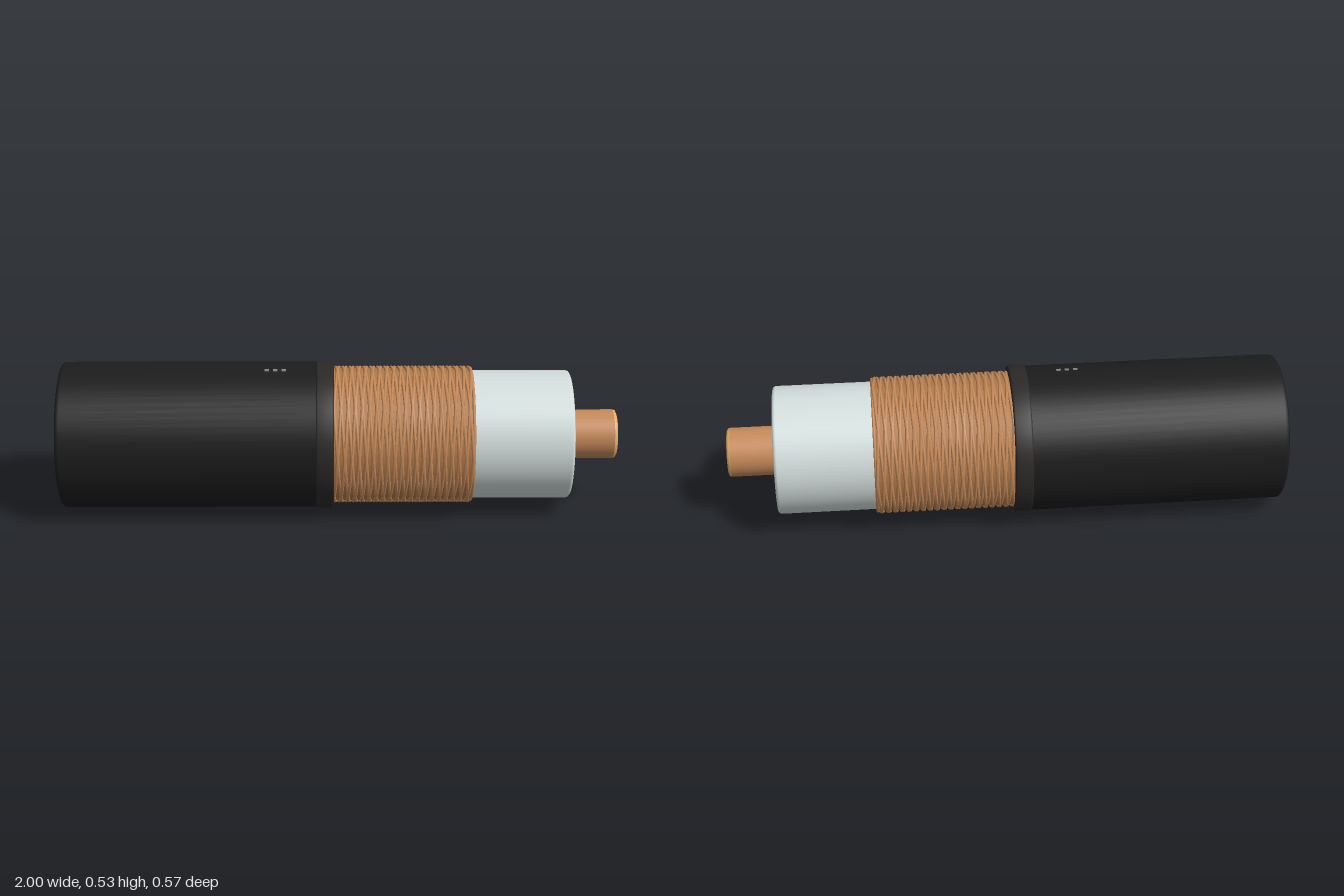
import * as THREE from 'three';

const material = (color) => new THREE.MeshStandardMaterial({ color, side: THREE.DoubleSide });

// Helix running along x, dir = +1 or -1 for the winding sense
class Helix extends THREE.Curve {
  constructor(x0, x1, radius, turns, phase, dir) {
    super();
    Object.assign(this, { x0, x1, radius, turns, phase, dir });
  }
  getPoint(t, target = new THREE.Vector3()) {
    const a = this.phase + this.dir * t * this.turns * Math.PI * 2;
    return target.set(
      this.x0 + (this.x1 - this.x0) * t,
      this.radius * Math.cos(a),
      this.radius * Math.sin(a)
    );
  }
}

export function createModel() {
  const model = new THREE.Group();
  model.name = 'strippedCable';
  const cable = new THREE.Group();
  cable.name = 'cable';
  cable.position.set(0, 0.269, 0.018);
  cable.rotation.y = -0.044;
  model.add(cable);

  const black = material(0x1c1c1c);
  const darkGrey = material(0x2b2928);
  const copper = material(0xc68a5a);
  const wire = material(0xb07a4a);
  const gold = material(0xe5ae68);
  const white = material(0xd3dedc);
  const grey = material(0x8a8a8a);

  const add = (name, geometry, mat, parent = cable) => {
    const mesh = new THREE.Mesh(geometry, mat);
    mesh.name = name;
    parent.add(mesh);
    return mesh;
  };

  // Turned part along x from [x, radius] pairs
  const turned = (name, profile, mat) => {
    const geometry = new THREE.LatheGeometry(profile.map(([x, r]) => new THREE.Vector2(r, x)), 64);
    return add(name, geometry.rotateZ(-Math.PI / 2), mat);
  };

  // Outer jacket with a rounded closed end, and the cuff at its cut edge
  turned('jacket', [[-0.989, 0], [-0.989, 0.254], [-0.984, 0.26], [-0.975, 0.262], [-0.05, 0.262], [-0.03, 0.258], [-0.03, 0.2]], black);
  turned('jacketCuff', [[-0.08, 0.255], [-0.08, 0.262], [-0.074, 0.266], [-0.023, 0.266], [-0.017, 0.262], [-0.017, 0.23]], darkGrey);

  // Woven shield: sleeve plus crossing wires wound both ways
  turned('shieldSleeve', [[-0.05, 0.238], [0.472, 0.238], [0.472, 0.225]], wire);
  const braid = new THREE.Group();
  braid.name = 'shieldBraid';
  cable.add(braid);
  const starts = 4;
  for (const dir of [1, -1]) {
    for (let i = 0; i < starts; i++) {
      const path = new Helix(-0.03, 0.47, 0.241, 5, (i / starts) * Math.PI * 2, dir);
      add('braidWire', new THREE.TubeGeometry(path, 300, 0.0062, 6), copper, braid);
    }
  }
  const endRing = new THREE.TorusGeometry(0.2385, 0.0055, 8, 64).rotateY(Math.PI / 2);
  add('shieldEndRing', endRing.translate(0.472, 0, 0), copper);

  // Insulation around the core
  turned('insulation', [[0.4, 0.23], [0.815, 0.23], [0.822, 0.228], [0.826, 0.222], [0.826, 0]], white);

  // Central conductor with a bevelled tip
  turned('conductor', [[0.8, 0.088], [0.985, 0.088]], copper);
  turned('conductorTip', [[0.985, 0.088], [0.993, 0.086], [0.997, 0.078], [0.997, 0]], gold);

  // Fine arc scored in the insulation face
  const arc = new THREE.TorusGeometry(0.142, 0.0015, 6, 16, 0.47);
  arc.rotateZ(-0.83).rotateY(-Math.PI / 2).translate(0.826, 0, 0);
  add('faceMark', arc, darkGrey);

  // Three small dashes on top of the jacket
  for (let i = 0; i < 3; i++) {
    const dash = add('jacketDash', new THREE.BoxGeometry(0.016, 0.004, 0.01), grey);
    dash.position.set(-0.255 + i * 0.03, 0.2605, 0.037);
    dash.rotation.x = 0.14;
  }

  return model;
}
